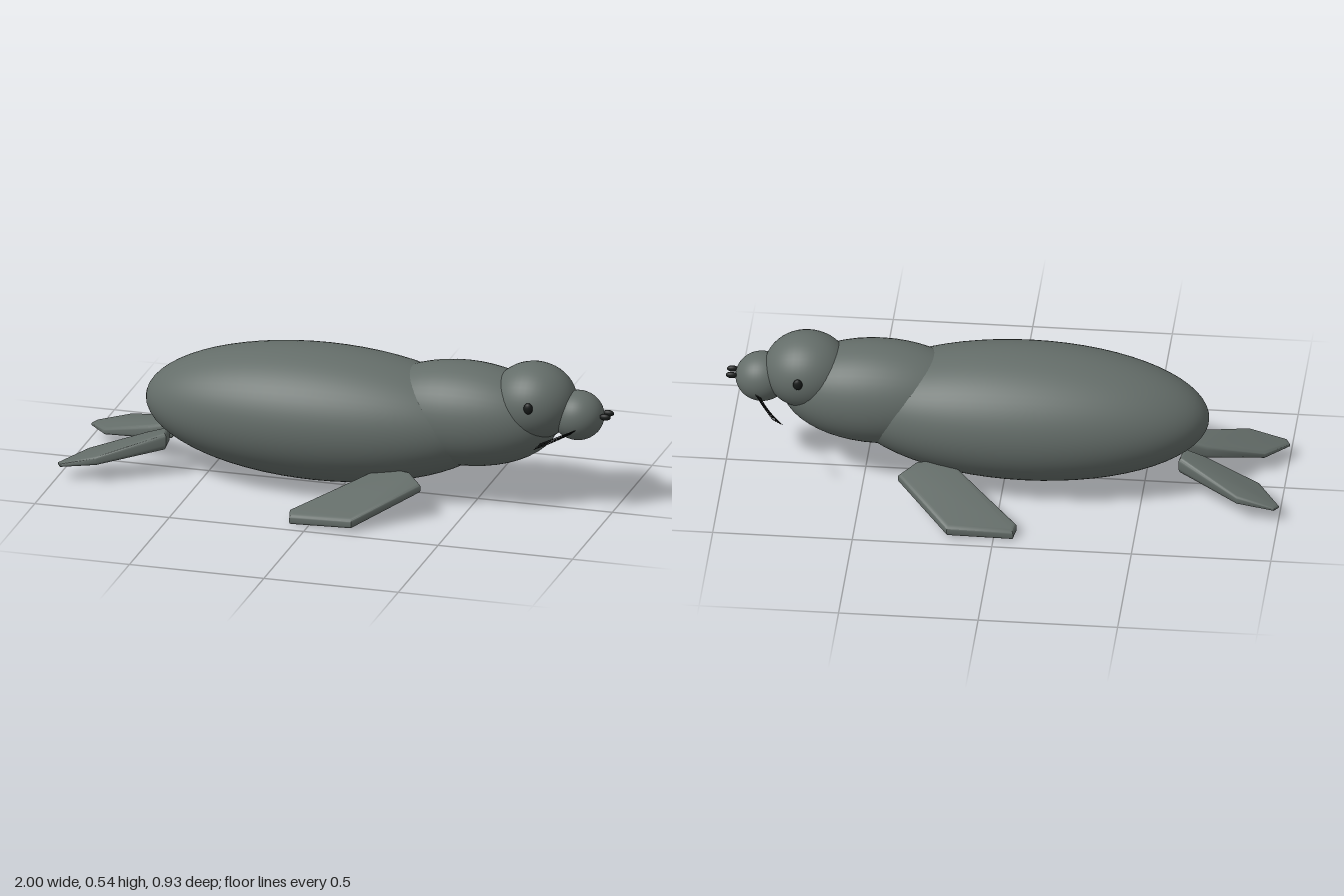
import * as THREE from 'three';
import { toCreasedNormals } from 'three/addons/utils/BufferGeometryUtils.js';

const fur = new THREE.MeshStandardMaterial({ color: 0x646d69 });
const dark = new THREE.MeshStandardMaterial({ color: 0x161918 });

function ellipsoid(name, [x, y, z], [rx, ry, rz], material = fur, detail = 48) {
  // Poles run along the x axis, nose to tail
  const geometry = new THREE.SphereGeometry(1, detail, detail / 2);
  geometry.rotateZ(-Math.PI / 2).scale(rx, ry, rz);
  const mesh = new THREE.Mesh(geometry, material);
  mesh.name = name;
  mesh.position.set(x, y, z);
  return mesh;
}

// Bevelled slab from an (x, z) outline, laid along a sloping plane;
// height(x, z) is its middle and thickness(x) its full depth
function flipper(name, side, outline, height, thickness) {
  const shape = new THREE.Shape(outline.map(([x, z]) => new THREE.Vector2(x, z * side)));
  let geometry = new THREE.ExtrudeGeometry(shape, {
    depth: 0.4, bevelThickness: 0.3, bevelSize: 0.014, bevelOffset: -0.014, bevelSegments: 4,
  });
  geometry.translate(0, 0, -0.2).rotateX(Math.PI / 2);
  const p = geometry.attributes.position;
  for (let i = 0; i < p.count; i++) {
    const x = p.getX(i), z = p.getZ(i) * side;
    p.setY(i, height(x, z) + p.getY(i) * thickness(x));
  }
  geometry = toCreasedNormals(geometry, 0.7);
  const mesh = new THREE.Mesh(geometry, fur);
  mesh.name = name;
  return mesh;
}

function whiskers(name, side) {
  const group = new THREE.Group();
  group.name = name;
  for (let i = 0; i < 5; i++) {
    const t = i / 4 - 0.5;
    const curve = new THREE.QuadraticBezierCurve3(
      new THREE.Vector3(0.88 + t * 0.02, 0.308 + t * 0.015, side * 0.075),
      new THREE.Vector3(0.85 + t * 0.02, 0.31 + t * 0.025, side * 0.16),
      new THREE.Vector3(0.79 + t * 0.03, 0.302 + t * 0.035, side * (0.245 + t * 0.03)),
    );
    group.add(new THREE.Mesh(new THREE.TubeGeometry(curve, 10, 0.0012, 5), dark));
  }
  return group;
}

export function createModel() {
  const seal = new THREE.Group();
  seal.name = 'seal';

  // Overlapping rounded masses, tail to nose
  seal.add(
    ellipsoid('body', [-0.08, 0.259, 0], [0.65, 0.244, 0.269], fur, 64),
    ellipsoid('neck', [0.45, 0.31, 0], [0.35, 0.19, 0.185]),
    ellipsoid('head', [0.71, 0.385, 0], [0.155, 0.14, 0.143]),
    ellipsoid('muzzle', [0.872, 0.345, 0], [0.095, 0.09, 0.09]),
  );

  const frontOutline = [[0.36, 0.25], [0.3, 0.18], [0.19, 0.15], [0.07, 0.265],
    [-0.08, 0.405], [-0.07, 0.445], [0.165, 0.465]];
  const rearOutline = [[-0.63, 0.1], [-0.64, 0.02], [-0.72, 0.03], [-0.92, 0.1],
    [-1, 0.21], [-0.985, 0.237], [-0.85, 0.237]];

  for (const side of [1, -1]) {
    const label = side > 0 ? 'left' : 'right';
    seal.add(
      ellipsoid(label + 'Eye', [0.73, 0.405, side * 0.146], [0.017, 0.021, 0.011], dark, 20),
      ellipsoid(label + 'Nostril', [0.979, 0.355, side * 0.022], [0.021, 0.012, 0.01], dark, 20),
      whiskers(label + 'Whiskers', side),
      flipper(label + 'FrontFlipper', side, frontOutline,
        (x, z) => 0.1 + 0.09 * (x - 0.36) - 0.3 * (z - 0.25), () => 0.038),
      flipper(label + 'RearFlipper', side, rearOutline,
        (x) => 0.037 + 0.225 * (x + 1), (x) => 0.014 + 0.14 * (x + 1)),
    );
  }
  return seal;
}
